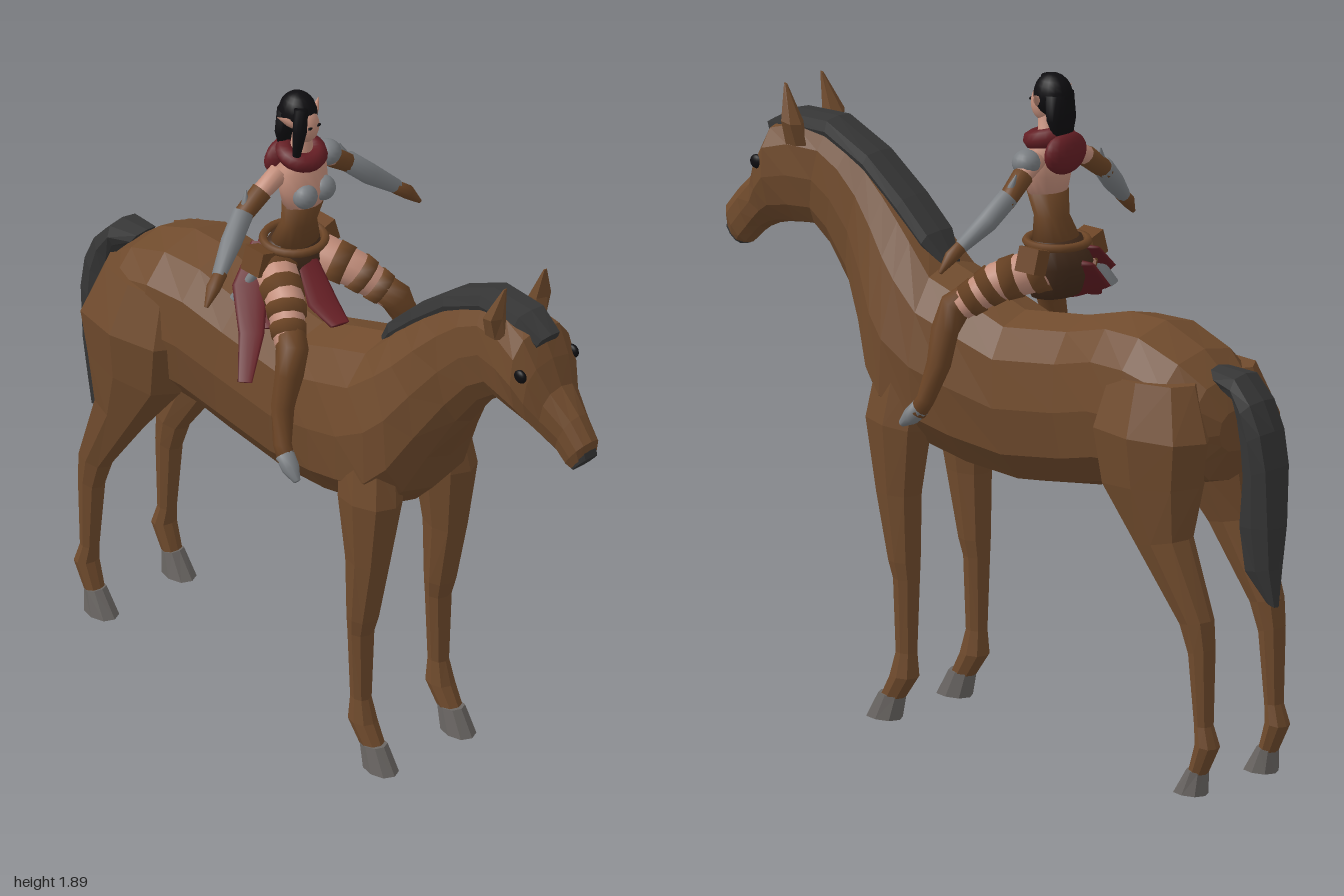
import * as THREE from 'three';

const mat = (name, color) => {
  const m = new THREE.MeshStandardMaterial({ color });
  m.name = name;
  return m;
};

export function createModel() {
  const model = new THREE.Group();
  const coat = mat('horse coat', 0x704b2d), dark = mat('mane charcoal', 0x363636);
  const horn = mat('hoof grey', 0x6a6663), skin = mat('skin', 0xc48f7c);
  const red = mat('red cloth', 0x641e24), hair = mat('black hair', 0x0e0d10);
  const leather = mat('leather', 0x6b4425), strap = mat('dark leather', 0x442c1c);
  const steel = mat('steel', 0x7a7e82);

  const add = (name, geo, material, parent) => {
    const mesh = new THREE.Mesh(geo, material);
    mesh.name = name;
    parent.add(mesh);
    return mesh;
  };

  // Skin a list of point rings, close both ends and face outwards
  function loft(rings, flat) {
    const n = rings[0].length, pts = rings.flat(), idx = [];
    for (let i = 0; i < rings.length - 1; i++) {
      for (let j = 0; j < n; j++) {
        const a = i * n + j, b = i * n + (j + 1) % n;
        idx.push(a, b, a + n, b, b + n, a + n);
      }
    }
    [0, rings.length - 1].forEach((r, end) => {
      const c = pts.length;
      pts.push(rings[r].reduce((s, p) => s.add(p), new THREE.Vector3()).divideScalar(n));
      for (let j = 0; j < n; j++) {
        const a = r * n + j, b = r * n + (j + 1) % n;
        if (end) idx.push(a, b, c); else idx.push(b, a, c);
      }
    });
    let volume = 0;
    for (let i = 0; i < idx.length; i += 3) {
      volume += pts[idx[i]].dot(new THREE.Vector3().crossVectors(pts[idx[i + 1]], pts[idx[i + 2]]));
    }
    if (volume < 0) idx.reverse();
    let g = new THREE.BufferGeometry().setFromPoints(pts);
    g.setIndex(idx);
    if (flat) g = g.toNonIndexed();
    g.computeVertexNormals();
    return g;
  }

  // Sections: [zA, yA, zB, yB, halfWidth, centreX, egg]
  function sections(list, n = 12, p = 0.85, flat = true, side = 1) {
    const soft = v => Math.sign(v) * Math.abs(v) ** p;
    return loft(list.map(([zA, yA, zB, yB, w, x = 0, egg = 0]) =>
      Array.from({ length: n }, (_, j) => {
        const a = j / n * Math.PI * 2, c = soft(Math.cos(a)), s = soft(Math.sin(a));
        return new THREE.Vector3(side * (x + w * s * (1 - egg * c)),
          (yA + yB) / 2 + (yA - yB) / 2 * c, (zA + zB) / 2 + (zA - zB) / 2 * c);
      })), flat);
  }

  // Limb along points [x, y, z, radius]; thickness below 1 makes a ribbon
  function limb(list, side = 1, thickness = 1, n = 10) {
    const p = list.map(([x, y, z]) => new THREE.Vector3(x * side, y, z));
    return loft(p.map((c, i) => {
      const d = p[Math.min(i + 1, p.length - 1)].clone().sub(p[Math.max(i - 1, 0)]).normalize();
      const u = new THREE.Vector3(0, 1, 0).cross(d).normalize(), v = d.clone().cross(u);
      return Array.from({ length: n }, (_, j) => {
        const a = j / n * Math.PI * 2, r = list[i][3];
        return c.clone().addScaledVector(u, r * Math.cos(a)).addScaledVector(v, r * thickness * Math.sin(a));
      });
    }), false);
  }

  function ball(name, material, parent, pos, size) {
    const m = add(name, new THREE.SphereGeometry(1, 16, 12), material, parent);
    m.position.set(...pos);
    m.scale.set(...size);
    return m;
  }

  // ---------- Horse ----------
  const horse = new THREE.Group();
  horse.name = 'horse';
  model.add(horse);
  add('bodyNeckAndHead', sections([
    [-.845, 1.07, -.845, .95, .08], [-.80, 1.15, -.81, .86, .15], [-.72, 1.215, -.70, .83, .195],
    [-.58, 1.27, -.58, .80, .205], [-.45, 1.27, -.46, .785, .19], [-.30, 1.23, -.34, .755, .175],
    [-.07, 1.2, -.13, .725, .175], [.07, 1.25, .05, .74, .185, 0, .08], [.20, 1.29, .17, .77, .195, 0, .15],
    [.28, 1.375, .30, .80, .19, 0, .25], [.33, 1.42, .37, .87, .17, 0, .25], [.39, 1.47, .435, 1.0, .135, 0, .15],
    [.46, 1.52, .52, 1.15, .1], [.53, 1.565, .6, 1.255, .09], [.61, 1.6, .66, 1.3, .085],
    [.72, 1.605, .72, 1.295, .1], [.80, 1.58, .785, 1.285, .112, 0, -.1], [.845, 1.5, .82, 1.275, .1, 0, -.1],
    [.88, 1.425, .86, 1.255, .075], [.95, 1.36, .89, 1.23, .053], [1, 1.3, .92, 1.2, .047],
    [.995, 1.25, .94, 1.195, .037]]), coat, horse);
  add('muzzle', sections([[.997, 1.275, .93, 1.195, .039], [1, 1.25, .945, 1.192, .036]]), dark, horse);
  add('mane', sections([
    [.19, 1.29, .2, 1.25, .03], [.24, 1.365, .27, 1.31, .062], [.33, 1.45, .36, 1.39, .062],
    [.46, 1.55, .48, 1.49, .06], [.61, 1.62, .61, 1.55, .058], [.76, 1.615, .74, 1.55, .055],
    [.84, 1.57, .81, 1.52, .04]], 8, .5), dark, horse);
  add('tail', sections([
    [-.77, 1.18, -.81, 1.12, .045], [-.87, 1.175, -.86, 1.1, .06], [-.935, 1.11, -.875, 1.05, .065],
    [-.975, 1.03, -.885, .98, .065], [-.995, .93, -.89, .89, .062], [-.998, .76, -.868, .75, .052],
    [-.99, .64, -.88, .62, .036], [-.985, .53, -.95, .54, .012]], 8, .7), dark, horse);

  for (const s of [1, -1]) {
    add('hindLeg', sections([
      [-.49, 1.14, -.79, 1.15, .075, .12], [-.46, 1.0, -.85, 1.0, .11, .14], [-.49, .84, -.825, .87, .095, .14],
      [-.62, .68, -.795, .72, .06, .15], [-.77, .48, -.87, .5, .04, .145], [-.80, .4, -.875, .42, .034, .145],
      [-.82, .2, -.87, .2, .026, .145], [-.825, .15, -.89, .14, .034, .145], [-.80, .07, -.85, .06, .028, .145]
    ], 8, .85, true, s), coat, horse);
    add('foreLeg', sections([
      [.35, 1, .15, 1, .06, .125], [.37, .86, .165, .84, .068, .14], [.33, .65, .195, .65, .05, .145],
      [.285, .46, .2, .46, .042, .145], [.27, .41, .2, .41, .035, .145], [.265, .2, .205, .2, .026, .145],
      [.285, .13, .2, .13, .035, .145], [.32, .065, .245, .065, .03, .145]
    ], 8, .85, true, s), coat, horse);
    add('hindHoof', sections([[-.795, .075, -.85, .065, .031, .145], [-.745, 0, -.85, 0, .039, .145]],
      8, .85, true, s), horn, horse);
    add('foreHoof', sections([[.327, .075, .245, .07, .032, .145], [.37, 0, .26, 0, .039, .145]],
      8, .85, true, s), horn, horse);
    add('horseEar', sections([
      [.735, 1.54, .66, 1.54, .025, .075], [.735, 1.61, .67, 1.6, .032, .085], [.74, 1.705, .73, 1.7, .005, .075]
    ], 6, 1, true, s), coat, horse);
    ball('horseEye', hair, horse, [s * .098, 1.47, .82], [.012, .02, .022]);
  }

  // ---------- Rider ----------
  const rider = new THREE.Group();
  rider.name = 'rider';
  model.add(rider);
  const body = (name, list, m) => add(name, sections(list, 16, 1, false), m, rider);
  body('hips', [[-.12, 1.27, -.24, 1.27, .08], [-.12, 1.36, -.275, 1.36, .105], [-.13, 1.43, -.245, 1.43, .078]], strap);
  body('corset', [[-.125, 1.42, -.24, 1.42, .078], [-.12, 1.49, -.21, 1.49, .053], [-.095, 1.56, -.205, 1.56, .062]], leather);
  body('upperBody', [[-.1, 1.55, -.2, 1.55, .06], [-.085, 1.61, -.21, 1.61, .075], [-.11, 1.67, -.21, 1.67, .085],
    [-.125, 1.7, -.19, 1.7, .035], [-.125, 1.78, -.18, 1.78, .026]], skin);
  ball('head', skin, rider, [0, 1.805, -.142], [.038, .054, .042]);
  ball('hairCap', hair, rider, [0, 1.832, -.17], [.051, .062, .057]);
  body('hairBack', [[-.16, 1.84, -.225, 1.84, .05], [-.17, 1.77, -.23, 1.77, .052], [-.19, 1.72, -.225, 1.72, .035]], hair);
  add('hairSideLock', limb([[-.03, 1.87, -.125, .02], [-.042, 1.81, -.118, .02], [-.047, 1.73, -.125, .012]]), hair, rider);
  const scarf = add('scarf', new THREE.TorusGeometry(.046, .027, 8, 20), red, rider);
  scarf.rotation.x = Math.PI / 2 + .25;
  scarf.position.set(0, 1.71, -.155);
  ball('hood', red, rider, [0, 1.675, -.215], [.078, .06, .036]);
  ball('pauldron', steel, rider, [.105, 1.66, -.165], [.04, .036, .04]);

  const thigh = [[.06, 1.36, -.2, .062], [.13, 1.31, -.08, .054], [.19, 1.24, 0, .042]];
  const onThigh = t => {
    const i = t < .5 ? 0 : 1, k = t * 2 - i;
    return thigh[i].map((v, c) => v + (thigh[i + 1][c] - v) * k + (c === 3 ? .004 : 0));
  };
  for (const s of [1, -1]) {
    // Arms, held out sideways
    add('upperArm', limb([[.07, 1.665, -.17, .03], [.14, 1.625, -.175, .026]], s), skin, rider);
    add('sleeve', limb([[.13, 1.63, -.175, .03], [.21, 1.57, -.18, .026]], s), leather, rider);
    add('bracer', limb([[.195, 1.585, -.18, .03], [.26, 1.525, -.16, .03], [.335, 1.465, -.13, .02]], s), steel, rider);
    add('glove', limb([[.325, 1.47, -.13, .019], [.365, 1.44, -.12, .02], [.4, 1.4, -.11, .006]], s), leather, rider);
    add('elbowSpike', limb([[.19, 1.6, -.18, .014], [.175, 1.645, -.19, .002]], s), steel, rider);

    // Legs astride
    add('thigh', limb(thigh, s), skin, rider);
    for (const t of [0, .28, .52, .76]) {
      add('thighStrap', limb([onThigh(t), onThigh(t + .15)], s), leather, rider);
    }
    add('boot', limb([[.17, 1.265, -.02, .042], [.195, 1.235, .015, .045], [.22, 1.17, .03, .04],
      [.245, 1.08, .03, .034], [.27, .98, .055, .026], [.277, .94, .08, .026]], s), leather, rider);
    add('bootToe', limb([[.275, .955, .07, .027], [.28, .925, .1, .025], [.285, .9, .13, .01]], s), steel, rider);

    // Face and chest details
    ball('breastplate', steel, rider, [s * .034, 1.603, -.105], [.036, .036, .034]);
    add('riderEar', limb([[.03, 1.81, -.145, .012], [.05, 1.825, -.155, .011], [.077, 1.845, -.17, .001]], s), skin, rider);
    ball('riderEye', hair, rider, [s * .016, 1.812, -.104], [.008, .004, .004]);
    const pouch = add('pouch', new THREE.BoxGeometry(.05, .07, .07), leather, rider);
    pouch.position.set(s * .12, 1.39, -.2);
    pouch.rotation.z = s * .3;
  }

  // Belt, sashes and dagger
  const belt = add('belt', new THREE.TorusGeometry(.085, .012, 6, 24), leather, rider);
  belt.rotation.x = Math.PI / 2;
  belt.position.set(0, 1.42, -.185);
  const ribbons = [
    [[-.06, 1.4, -.25, .03], [-.15, 1.32, -.2, .05], [-.24, 1.25, -.1, .035], [-.33, 1.165, -.03, .02]],
    [[0, 1.37, -.13, .03], [-.03, 1.29, -.04, .045], [-.05, 1.268, .05, .03]],
    [[0, 1.37, -.26, .05], [-.08, 1.28, -.23, .06], [-.14, 1.22, -.12, .03]],
  ];
  for (const r of ribbons) add('redSash', limb(r, 1, .18), red, rider);
  add('dagger', limb([[-.12, 1.38, -.19, .012], [-.17, 1.27, -.24, .016]]), steel, rider);
  return model;
}
